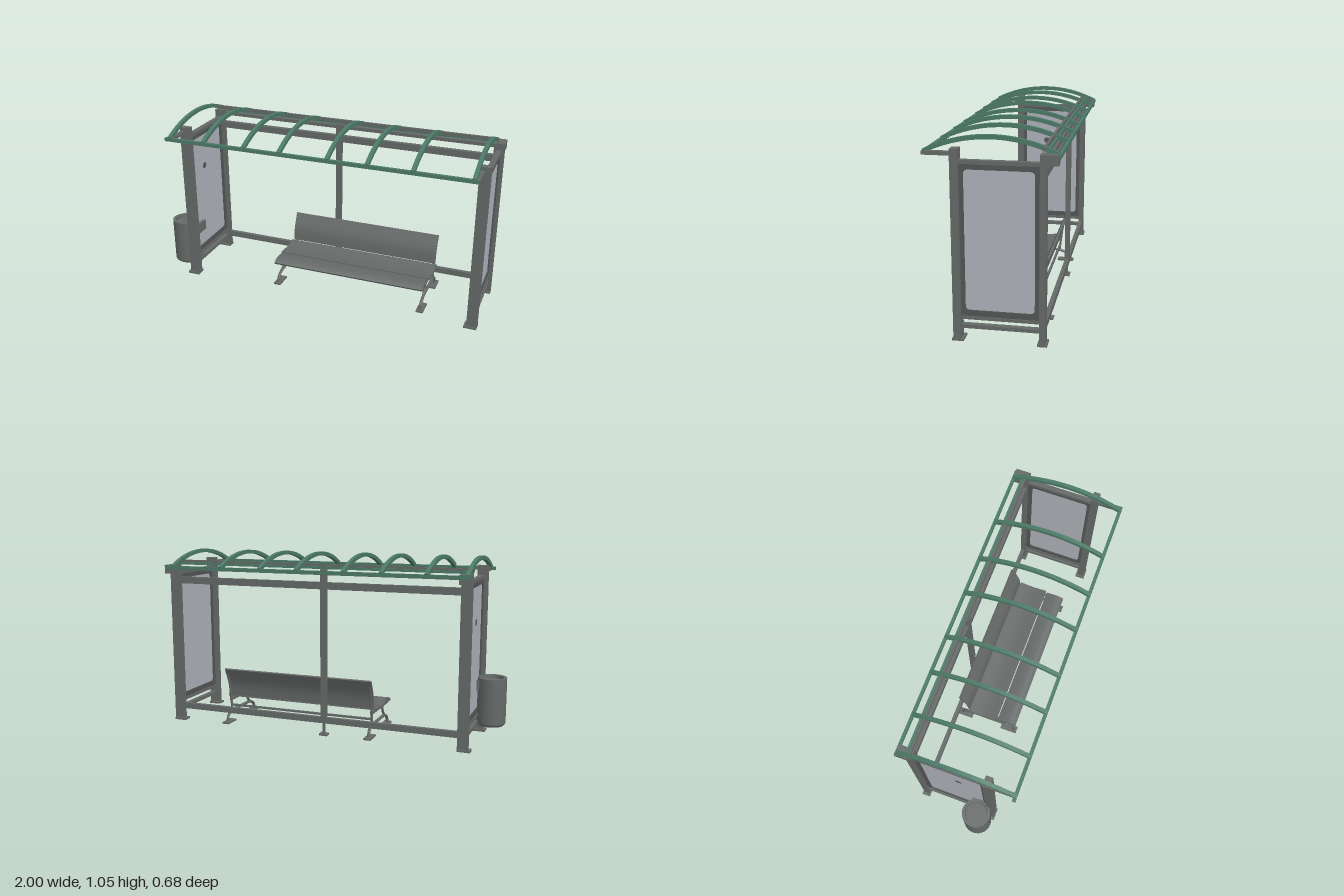
import * as THREE from 'three';

const mat = (name, color, side = THREE.FrontSide) => {
  const m = new THREE.MeshStandardMaterial({ color, side });
  m.name = name;
  return m;
};

export function createModel() {
  const grey = mat('steelGrey', 0x656968);
  const dark = mat('darkGrey', 0x525655);
  const green = mat('roofGreen', 0x4c7a68);
  const glass = mat('paleGlass', 0xaeb1b9, THREE.DoubleSide);
  const root = new THREE.Group();
  root.name = 'busShelter';

  const add = (name, geo, material, parent = root) => {
    const m = new THREE.Mesh(geo, material);
    m.name = name;
    parent.add(m);
    return m;
  };
  // Box given by its limits on each axis
  const box = (name, material, [x0, x1], [y0, y1], [z0, z1], parent = root) => {
    const m = add(name, new THREE.BoxGeometry(x1 - x0, y1 - y0, z1 - z0), material, parent);
    m.position.set((x0 + x1) / 2, (y0 + y1) / 2, (z0 + z1) / 2);
    return m;
  };
  // Extrudes a (z, y) outline along x, centred on x = cx
  const extrudeX = (name, shape, width, cx, material, parent = root) => {
    const g = new THREE.ExtrudeGeometry(shape, { depth: width, bevelEnabled: false, curveSegments: 16 });
    g.translate(0, 0, -width / 2);
    g.rotateY(-Math.PI / 2);
    g.translate(cx, 0, 0);
    return add(name, g, material, parent);
  };
  const roundedRect = (path, z0, z1, y0, y1, r) => {
    path.moveTo(z0 + r, y0);
    path.lineTo(z1 - r, y0);
    path.quadraticCurveTo(z1, y0, z1, y0 + r);
    path.lineTo(z1, y1 - r);
    path.quadraticCurveTo(z1, y1, z1 - r, y1);
    path.lineTo(z0 + r, y1);
    path.quadraticCurveTo(z0, y1, z0, y1 - r);
    path.lineTo(z0, y0 + r);
    path.quadraticCurveTo(z0, y0, z0 + r, y0);
    return path;
  };

  // Side walls: two posts, rails, framed glass and feet
  for (const [side, cx] of [['right', -0.83], ['left', 0.97]]) {
    const wall = new THREE.Group();
    wall.name = side + 'Wall';
    root.add(wall);
    const w = [cx - 0.03, cx + 0.03], rail = [cx - 0.015, cx + 0.015], span = [-0.25, 0.16];
    box('frontPost', grey, w, [0.005, 0.99], [0.153, 0.193], wall);
    box('backPost', grey, w, [0.005, 0.975], [-0.276, -0.245], wall);
    box('frontFoot', grey, [cx - 0.045, cx + 0.03], [0, 0.012], [0.14, 0.2], wall);
    box('backFoot', grey, [cx - 0.045, cx + 0.03], [0, 0.012], [-0.285, -0.235], wall);
    box('topRail', grey, rail, [0.915, 0.935], span, wall);
    box('bottomRail', grey, rail, [0.115, 0.132], span, wall);
    box('lowRail', grey, rail, [0.066, 0.086], span, wall);

    const frame = roundedRect(new THREE.Shape(), -0.247, 0.155, 0.13, 0.917, 0.002);
    frame.holes.push(roundedRect(new THREE.Path(), -0.22, 0.132, 0.163, 0.888, 0.025));
    extrudeX('glassFrame', frame, 0.02, cx, dark, wall);
    box('glassPane', glass, [cx - 0.003, cx + 0.003], [0.15, 0.9], [-0.235, 0.145], wall);

    // Roof brackets at the front and back of each wall
    box('frontRoofArm', grey, [cx - 0.025, cx], [0.95, 0.97], [0.18, 0.34], wall);
    box('backRoofBracket', grey, w, [0.925, 0.976], [-0.335, -0.25], wall);
  }

  // Painted glass details
  const arch = new THREE.Shape();
  arch.moveTo(-0.145, 0.165);
  arch.bezierCurveTo(-0.14, 0.22, -0.1, 0.295, -0.07, 0.295);
  arch.lineTo(-0.025, 0.297);
  arch.bezierCurveTo(0.01, 0.28, 0.04, 0.22, 0.045, 0.165);
  extrudeX('glassArch', arch, 0.008, 0.97, glass);
  const spot = add('glassSpot', new THREE.CylinderGeometry(0.02, 0.02, 0.008, 10), dark);
  spot.rotation.z = Math.PI / 2;
  spot.position.set(-0.83, 0.68, -0.01);

  // Back frame
  box('backTopBeam', grey, [-0.81, 0.95], [0.862, 0.902], [-0.276, -0.248]);
  box('backBottomRail', grey, [-0.81, 0.95], [0.075, 0.11], [-0.274, -0.25]);
  box('middlePost', grey, [-0.024, 0.01], [0.11, 0.975], [-0.276, -0.248]);
  box('middleLeg', grey, [-0.012, 0.002], [0, 0.11], [-0.268, -0.256]);
  box('middleFoot', grey, [-0.03, 0.02], [0, 0.012], [-0.28, -0.24]);
  box('gutterBeam', grey, [-0.86, 0.99], [0.945, 0.965], [-0.29, -0.26]);

  // Arched roof ribs
  const R = 0.7625, cy = 1.055 - R, a = Math.asin(0.34 / R), t = 0.022;
  const rib = new THREE.Shape();
  rib.absarc(0, cy, R, Math.PI / 2 - a, Math.PI / 2 + a, false);
  rib.absarc(0, cy, R - t, Math.PI / 2 + a, Math.PI / 2 - a, true);
  for (const x of [-0.845, -0.625, -0.37, -0.15, 0.135, 0.365, 0.62, 0.943])
    extrudeX('roofRib', rib, 0.022, x, green);
  box('frontRoofRail', green, [-0.875, 0.965], [0.95, 0.97], [0.322, 0.341]);
  box('backRoofRail', green, [-0.865, 0.99], [0.952, 0.972], [-0.341, -0.324]);
  box('roofPurlin', grey, [-0.865, 0.96], [0.985, 1.005], [-0.266, -0.252]);
  box('roofPurlinOuter', green, [-0.865, 0.96], [0.978, 0.992], [-0.283, -0.27]);

  // Bench with curved planks
  const bench = new THREE.Group();
  bench.name = 'bench';
  root.add(bench);
  const plank = (name, pts, x0, x1) => {
    const curve = new THREE.SplineCurve(pts.map(p => new THREE.Vector2(...p)));
    const top = curve.getPoints(12), half = 0.006;
    const offset = s => top.map((p, i) => {
      const d = curve.getTangent(i / 12);
      return new THREE.Vector2(p.x - d.y * half * s, p.y + d.x * half * s);
    });
    const outline = new THREE.Shape([...offset(1), ...offset(-1).reverse()]);
    extrudeX(name, outline, x1 - x0, (x0 + x1) / 2, grey, bench);
  };
  plank('frontSeatPlank', [[0.012, 0.158], [0.06, 0.164], [0.1, 0.162], [0.128, 0.146]], -0.29, 0.66);
  plank('rearSeatPlank', [[-0.18, 0.164], [-0.09, 0.154], [0.004, 0.16]], -0.3, 0.67);
  plank('backrest', [[-0.185, 0.172], [-0.197, 0.25], [-0.238, 0.342]], -0.288, 0.658);

  const tube = (name, pts, r) => {
    const curve = new THREE.CatmullRomCurve3(pts.map(p => new THREE.Vector3(...p)));
    add(name, new THREE.TubeGeometry(curve, 24, r, 8), grey, bench);
  };
  for (const x of [-0.275, 0.648]) {
    tube('legArch', [[x, 0.008, 0.115], [x, 0.04, 0.105], [x, 0.064, 0.06], [x, 0.068, -0.06],
      [x, 0.066, -0.18], [x, 0.045, -0.23], [x, 0.008, -0.24]], 0.009);
    tube('frontSupport', [[x, 0.068, 0.05], [x, 0.105, 0.02], [x, 0.14, 0.015]], 0.008);
    tube('backSupport', [[x, 0.066, -0.18], [x, 0.16, -0.19], [x, 0.25, -0.205], [x, 0.31, -0.23]], 0.007);
    box('seatBearer', grey, [x - 0.008, x + 0.008], [0.134, 0.15], [-0.19, 0.11], bench);
    box('frontFoot', grey, [x - 0.022, x + 0.022], [0, 0.01], [0.03, 0.135], bench);
    box('backFoot', grey, [x - 0.022, x + 0.022], [0, 0.01], [-0.27, -0.17], bench);
  }
  box('crossBar', grey, [-0.275, 0.648], [0.098, 0.11], [-0.19, -0.178], bench);

  // Litter bin with a dished lid, hung from the wall
  const bin = new THREE.Group();
  bin.name = 'litterBin';
  root.add(bin);
  const profile = [[0, 0.06], [0.07, 0.06], [0.08, 0.068], [0.084, 0.08], [0.084, 0.345],
    [0.066, 0.345], [0.064, 0.325], [0, 0.325]].map(p => new THREE.Vector2(...p));
  // Doubled corner points keep the rim crisp
  const crisp = profile.flatMap((p, i) => (i > 3 && i < 7 ? [p, p.clone().addScalar(1e-4)] : [p]));
  const body = add('binBody', new THREE.LatheGeometry(crisp, 28), grey, bin);
  body.position.set(-0.916, 0, 0.112);
  box('upperBracket', grey, [-0.86, -0.805], [0.27, 0.33], [0.06, 0.165], bin);
  box('lowerBracket', grey, [-0.88, -0.82], [0.07, 0.1], [0.08, 0.165], bin);

  return root;
}
